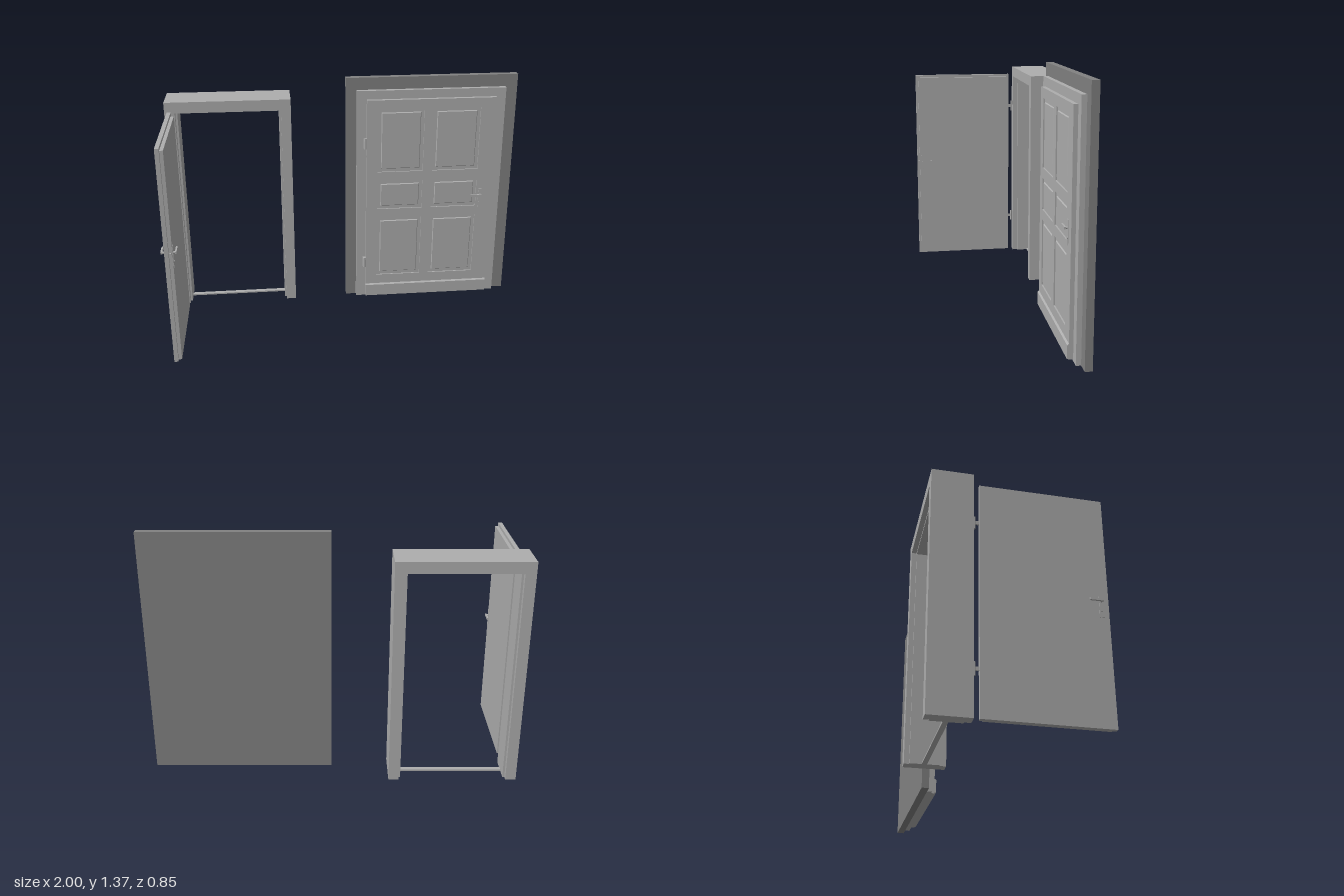
import * as THREE from 'three';

const paint = new THREE.MeshStandardMaterial({ color: 0xadadad, flatShading: true });
const darkPaint = new THREE.MeshStandardMaterial({ color: 0x818181, flatShading: true });

function add(parent, name, geometry, material = paint) {
  const mesh = new THREE.Mesh(geometry, material);
  mesh.name = name;
  parent.add(mesh);
  return mesh;
}

// Box given by its limits on each axis
function box(parent, name, [x0, x1], [y0, y1], [z0, z1], material) {
  const mesh = add(parent, name, new THREE.BoxGeometry(x1 - x0, y1 - y0, z1 - z0), material);
  mesh.position.set((x0 + x1) / 2, (y0 + y1) / 2, (z0 + z1) / 2);
}

function rect(Type, x0, x1, y0, y1) {
  const points = [[x0, y0], [x1, y0], [x1, y1], [x0, y1]].map(([x, y]) => new THREE.Vector2(x, y));
  return new Type(points);
}

function rod(parent, name, radius, length, position, alongZ = false) {
  const geometry = new THREE.CylinderGeometry(radius, radius, length, 12);
  if (alongZ) geometry.rotateX(Math.PI / 2);
  add(parent, name, geometry).position.set(...position);
}

// Handle facing +z: backing plate, stem, lever towards -x, keyhole cover
function makeHandle(reach) {
  const handle = new THREE.Group();
  handle.name = 'handle';
  box(handle, 'handlePlate', [-0.011, 0.011], [-0.085, 0.04], [0, 0.003]);
  rod(handle, 'handleStem', 0.006, reach, [0, 0, reach / 2], true);
  box(handle, 'handleLever', [-0.06, 0.007], [-0.006, 0.006], [reach - 0.009, reach]);
  rod(handle, 'keyholeCover', 0.006, 0.005, [0, -0.05, 0.0025], true);
  return handle;
}

// Door frame in three depth layers; the middle one forms the door stop
function makeDoorway() {
  const doorway = new THREE.Group();
  doorway.name = 'doorway';
  const layers = [
    ['frameBack', -0.426, -0.40, 0],
    ['frameStop', -0.40, -0.25, 0.011],
    ['frameFront', -0.25, -0.219, 0],
  ];
  for (const [name, z0, z1, inset] of layers) {
    const x0 = -0.938 + inset, x1 = -0.352 - inset, top = 1.197 - inset;
    const outline = [
      [-0.995, 0], [x0, 0], [x0, top], [x1, top], [x1, 0], [-0.297, 0], [-0.297, 1.258], [-0.995, 1.258],
    ];
    const shape = new THREE.Shape(outline.map(([x, y]) => new THREE.Vector2(x, y)));
    const geometry = new THREE.ExtrudeGeometry(shape, { depth: z1 - z0, bevelEnabled: false });
    add(doorway, name, geometry).position.z = z0;
  }
  box(doorway, 'threshold', [-0.938, -0.352], [0, 0.008], [-0.34, -0.315]);
  return doorway;
}

// Plain leaf standing open at a right angle to the frame
function makeOpenDoor() {
  const door = new THREE.Group();
  door.name = 'openDoor';
  box(door, 'outerLeaf', [-0.978, -0.956], [0.006, 1.211], [-0.19, 0.424]);
  box(door, 'innerLeaf', [-0.956, -0.938], [0.01, 1.195], [-0.17, 0.408]);
  box(door, 'latch', [-0.952, -0.943], [0.627, 0.647], [0.408, 0.418]);
  for (const side of [1, -1]) {
    const handle = makeHandle(side > 0 ? 0.02 : 0.022);
    handle.rotation.y = side * Math.PI / 2;
    // Mirror so that both levers point towards the hinges
    handle.scale.x = side > 0 ? -1 : 1;
    handle.position.set(side > 0 ? -0.938 : -0.978, 0.64, 0.388);
    door.add(handle);
  }
  for (const y of [0.242, 1.0]) {
    rod(door, 'hinge', 0.006, 0.066, [-0.966, y, -0.212]);
    box(door, 'hingePin', [-0.97, -0.962], [y - 0.009, y + 0.009], [-0.21, -0.188]);
  }
  return door;
}

// Closed door on a stepped surround, with six shallow fields
function makePanelDoor() {
  const door = new THREE.Group();
  door.name = 'panelledDoor';
  box(door, 'wallPanel', [0.015, 1], [0, 1.365], [-0.282, -0.243], darkPaint);
  box(door, 'surround', [0.075, 0.93], [0, 1.295], [-0.243, -0.217]);
  box(door, 'leafBacking', [0.13, 0.875], [0.008, 1.245], [-0.217, -0.203]);

  const leaf = rect(THREE.Shape, 0.13, 0.875, 0.008, 1.245);
  for (const [x0, x1] of [[0.195, 0.46], [0.515, 0.785]]) {
    for (const [y0, y1] of [[0.148, 0.525], [0.583, 0.758], [0.815, 1.19]]) {
      leaf.holes.push(rect(THREE.Path, x0, x1, y0, y1));
      const field = rect(THREE.Shape, x0 + 0.023, x1 - 0.023, y0 + 0.023, y1 - 0.023);
      const geometry = new THREE.ExtrudeGeometry(field, {
        depth: 0.001, bevelThickness: 0.005, bevelSize: 0.004, bevelSegments: 1,
      });
      add(door, 'raisedField', geometry).position.z = -0.203;
    }
  }
  const face = new THREE.ExtrudeGeometry(leaf, { depth: 0.008, bevelEnabled: false });
  add(door, 'leafFace', face).position.z = -0.203;

  // Kick board with a sloping top
  box(door, 'kickBoard', [0.13, 0.875], [0.012, 0.083], [-0.195, -0.186]);
  const slope = new THREE.Shape([[0, 0], [0.009, 0], [0, 0.007]].map(([x, y]) => new THREE.Vector2(x, y)));
  const lip = new THREE.ExtrudeGeometry(slope, { depth: 0.745, bevelEnabled: false });
  lip.rotateY(-Math.PI / 2);
  add(door, 'kickBoardLip', lip).position.set(0.875, 0.083, -0.195);

  for (const y of [0.233, 0.988]) {
    rod(door, 'hinge', 0.008, 0.062, [0.122, y, -0.204]);
    box(door, 'hingeLeaf', [0.114, 0.132], [y - 0.03, y + 0.03], [-0.217, -0.205]);
  }
  const handle = makeHandle(0.02);
  handle.position.set(0.81, 0.652, -0.195);
  door.add(handle);
  return door;
}

export function createModel() {
  const model = new THREE.Group();
  model.name = 'doors';
  model.add(makeDoorway(), makeOpenDoor(), makePanelDoor());
  return model;
}
